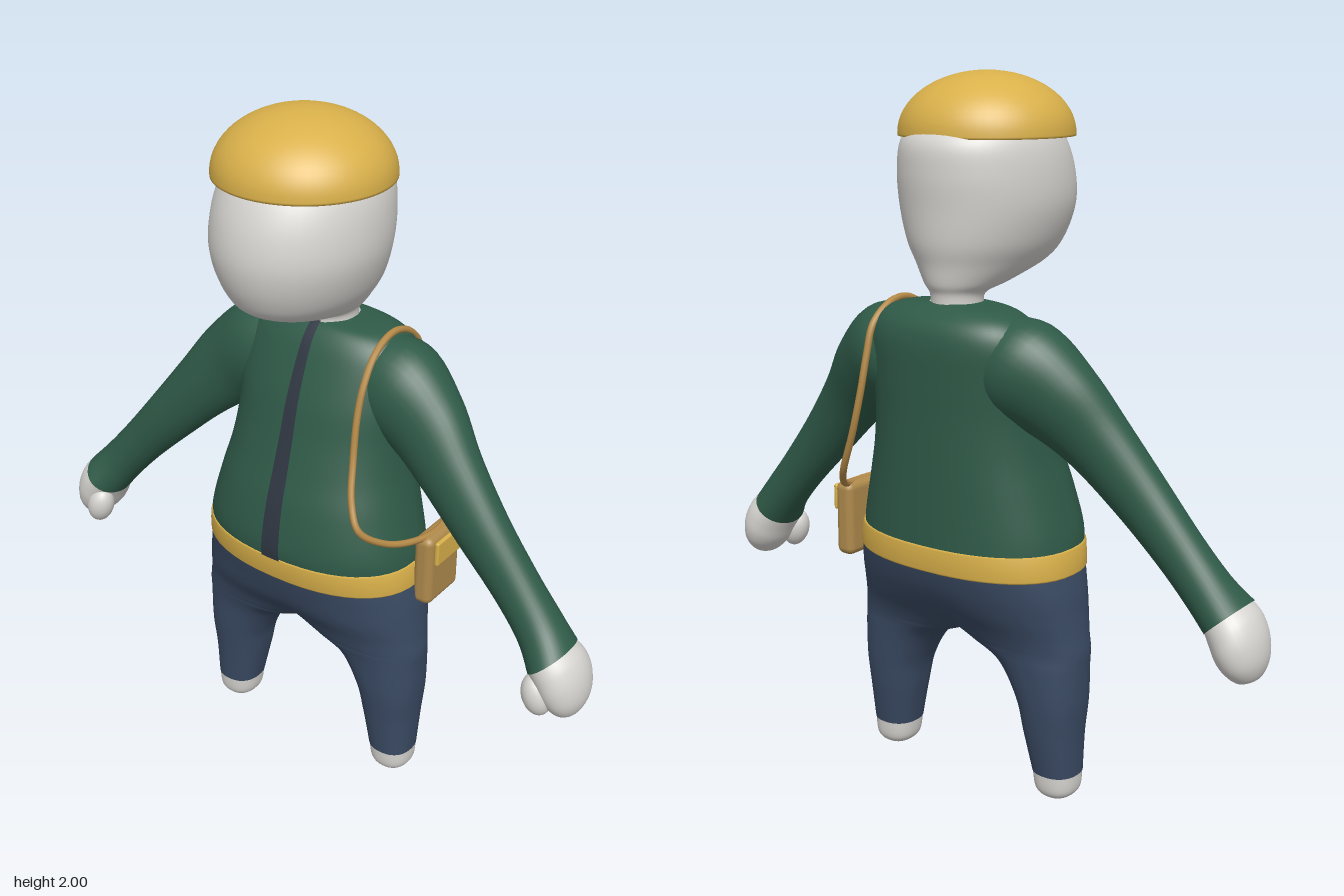
import * as THREE from 'three';
import { mergeVertices } from 'three/addons/utils/BufferGeometryUtils.js';
import { RoundedBoxGeometry } from 'three/addons/geometries/RoundedBoxGeometry.js';

const mat = (name, color, double) => {
  const m = new THREE.MeshStandardMaterial({ color });
  m.name = name;
  if (double) m.side = THREE.DoubleSide;
  return m;
};

// Smooth interpolation through the section list at parameter s (0..n-1)
function sectionAt(list, s) {
  const n = list.length - 1, i = Math.min(Math.floor(s), n - 1), f = s - i;
  const [a, b, c, d] = [i - 1, i, i + 1, i + 2].map(k => list[Math.max(0, Math.min(n, k))]);
  return b.map((v, k) => {
    const m0 = (c[k] - a[k]) / 2, m1 = (d[k] - v) / 2;
    return v + f * m0 + f * f * (3 * (c[k] - v) - 2 * m0 - m1) + f * f * f * (2 * (v - c[k]) + m0 + m1);
  });
}

const fullRing = () => [0, Math.PI * 2];

// Skin over sections [x, y, z, radius across, radius in z, tilt]; e below 1 gives boxier rings
function loft(list, { e = 1, range = fullRing, seg = 48, steps = 6 } = {}) {
  const pos = [], idx = [], rows = (list.length - 1) * steps;
  const pw = v => Math.sign(v) * Math.abs(v) ** e;
  for (let i = 0; i <= rows; i++) {
    const s = sectionAt(list, i / steps), [x, y, z, ru, rz, tilt = 0] = s;
    const [t0, t1] = range(s);
    for (let j = 0; j <= seg; j++) {
      const t = t0 + (t1 - t0) * j / seg, u = ru * pw(Math.cos(t));
      pos.push(x + u * Math.cos(tilt), y + u * Math.sin(tilt), z + rz * pw(Math.sin(t)));
      if (i < rows && j < seg) {
        const a = i * (seg + 1) + j, c = a + seg + 1;
        idx.push(a, c, a + 1, a + 1, c, c + 1);
      }
    }
  }
  let g = new THREE.BufferGeometry();
  g.setAttribute('position', new THREE.Float32BufferAttribute(pos, 3));
  g.setIndex(idx);
  g = mergeVertices(g, 1e-5);
  g.computeVertexNormals();
  return g;
}

// Mirrored copy across x = 0
function mirrored(geo) {
  const g = geo.clone().scale(-1, 1, 1), ix = g.index.array;
  for (let i = 0; i < ix.length; i += 3) [ix[i], ix[i + 1]] = [ix[i + 1], ix[i]];
  const n = g.attributes.normal;
  const src = geo.attributes.normal;
  for (let i = 0; i < n.count; i++) n.setXYZ(i, -src.getX(i), src.getY(i), src.getZ(i));
  return g;
}

export function createModel() {
  const root = new THREE.Group();
  const skin = mat('paleSkin', 0xd6d4d0), green = mat('greenJumper', 0x2f5a48);
  const blue = mat('blueTrousers', 0x3a4a63), gold = mat('gold', 0xd9b04a, true);
  const dark = mat('darkZip', 0x2f3742, true), tan = mat('tanBag', 0xae8a4c);
  const strapMat = mat('strapLeather', 0xb58a48);
  const add = (name, geo, m, parent = root) => {
    const mesh = new THREE.Mesh(geo, m);
    mesh.name = name;
    parent.add(mesh);
    return mesh;
  };
  const pair = (name, geo, m) => {
    add('left' + name, geo, m);
    add('right' + name, mirrored(geo), m);
  };
  const E = 0.87;

  // Torso
  const torso = [
    [0, 0.70, -0.05, 0.338, 0.220], [0, 0.78, -0.045, 0.332, 0.225],
    [0, 0.90, -0.055, 0.302, 0.215], [0, 1.00, -0.07, 0.277, 0.200],
    [0, 1.10, -0.085, 0.265, 0.185], [0, 1.20, -0.10, 0.266, 0.172],
    [0, 1.30, -0.12, 0.262, 0.152], [0, 1.355, -0.125, 0.235, 0.130],
    [0, 1.388, -0.12, 0.175, 0.098], [0, 1.40, -0.115, 0.07, 0.07],
  ];
  add('torso', loft(torso, { e: E }), green);

  // Zip strip down the front, widening to the belt
  const zip = torso.slice(0, 9).map(([x, y, z, ru, rz]) => [x, y, z, ru + 0.004, rz + 0.004]);
  zip.push([0, 1.402, -0.115, 0.09, 0.08]);
  add('zip', loft(zip, {
    seg: 6,
    range: ([, y, , ru]) => {
      const w = 0.015 + 0.016 * (1.4 - y) / 0.66;
      return [Math.PI / 2 - w / ru, Math.PI / 2 + w / ru];
    },
  }), dark);

  // Belt
  add('belt', loft([
    [0, 0.678, -0.05, 0.342, 0.219], [0, 0.68, -0.05, 0.349, 0.225],
    [0, 0.743, -0.047, 0.341, 0.230], [0, 0.745, -0.047, 0.333, 0.222],
  ], { e: E, steps: 2 }), gold);

  // Trousers: each half grows from an ankle ring into half of the hips, cut at x = 0
  const trousers = loft([
    [0.293, 0.08, -0.035, 0.068, 0.070], [0.283, 0.20, -0.04, 0.083, 0.085],
    [0.275, 0.30, -0.04, 0.100, 0.097], [0.243, 0.40, -0.04, 0.135, 0.105],
    [0.190, 0.45, -0.038, 0.190, 0.115], [0.135, 0.50, -0.04, 0.238, 0.135],
    [0.060, 0.56, -0.043, 0.305, 0.172], [0.010, 0.62, -0.048, 0.348, 0.200],
    [0, 0.68, -0.05, 0.345, 0.219], [0, 0.71, -0.05, 0.335, 0.219],
  ], {
    e: E,
    range: ([x, , , ru]) => {
      const k = Math.max(-1, Math.min(1, x / ru));
      const t = Math.acos(-Math.sign(k) * Math.abs(k) ** (1 / E));
      return [-t, t];
    },
  });
  // Smooth the centre seam
  const p = trousers.attributes.position, n = trousers.attributes.normal;
  for (let i = 0; i < p.count; i++) {
    if (Math.abs(p.getX(i)) > 1e-4) continue;
    const l = Math.hypot(n.getY(i), n.getZ(i)) || 1;
    n.setXYZ(i, 0, n.getY(i) / l, n.getZ(i) / l);
  }
  pair('Trouser', trousers, blue);

  // Feet
  pair('Foot', loft([
    [0.295, 0, -0.035, 0.001, 0.001], [0.295, 0.006, -0.035, 0.036, 0.040],
    [0.295, 0.03, -0.035, 0.060, 0.063], [0.293, 0.082, -0.035, 0.067, 0.069],
  ], { e: E }), skin);

  // Sleeves, from cuff to shoulder
  pair('Sleeve', loft([
    [0.800, 0.650, -0.012, 0.071, 0.092, 0.75], [0.745, 0.715, -0.028, 0.068, 0.072, 0.75],
    [0.660, 0.810, -0.036, 0.071, 0.064, 0.72], [0.545, 0.935, -0.045, 0.083, 0.068, 0.72],
    [0.430, 1.060, -0.065, 0.100, 0.079, 0.74], [0.330, 1.160, -0.095, 0.125, 0.100, 0.85],
    [0.220, 1.235, -0.115, 0.145, 0.125, 1.15], [0.100, 1.260, -0.115, 0.110, 0.100, 1.45],
  ], { seg: 36 }), green);

  // Hands with thumbs
  pair('Hand', loft([
    [0.868, 0.492, -0.015, 0.001, 0.001, 0.3], [0.865, 0.500, -0.015, 0.030, 0.045, 0.3],
    [0.858, 0.535, -0.017, 0.055, 0.080, 0.4], [0.843, 0.580, -0.017, 0.071, 0.096, 0.6],
    [0.822, 0.622, -0.015, 0.074, 0.096, 0.72], [0.797, 0.653, -0.012, 0.068, 0.089, 0.75],
  ], { seg: 32 }), skin);
  const thumb = new THREE.SphereGeometry(1, 20, 14).scale(0.042, 0.062, 0.042)
    .rotateZ(0.3).translate(0.795, 0.560, 0.050);
  pair('Thumb', thumb, skin);

  // Head and neck
  add('head', loft([
    [0, 1.37, -0.11, 0.070, 0.080], [0, 1.42, -0.11, 0.070, 0.082],
    [0, 1.45, -0.065, 0.105, 0.140], [0, 1.50, 0.0, 0.155, 0.215],
    [0, 1.56, 0.018, 0.195, 0.248], [0, 1.65, 0.026, 0.224, 0.264],
    [0, 1.74, 0.018, 0.226, 0.263], [0, 1.82, 0.006, 0.210, 0.243],
    [0, 1.87, 0.01, 0.175, 0.195], [0, 1.92, 0.015, 0.100, 0.110],
    [0, 1.935, 0.015, 0.002, 0.002],
  ]), skin);

  // Cap: hollow dome with a small rim
  const dome = [[0.222, 1.834], [0.240, 1.830]];
  for (let i = 0; i <= 16; i++) {
    const a = i / 16 * Math.PI / 2;
    dome.push([i === 16 ? 0 : 0.240 * Math.cos(a), 1.836 + 0.164 * Math.sin(a)]);
  }
  add('cap', new THREE.LatheGeometry(dome.map(q => new THREE.Vector2(...q)), 56)
    .translate(0, 0, 0.018), gold);

  // Shoulder bag with flap and clasp plate
  const bag = new THREE.Group();
  bag.name = 'shoulderBag';
  root.add(bag);
  add('bagBody', new RoundedBoxGeometry(0.06, 0.22, 0.16, 4, 0.022), tan, bag)
    .position.set(0.368, 0.73, -0.11);
  add('bagFlap', new RoundedBoxGeometry(0.014, 0.075, 0.13, 3, 0.006), gold, bag)
    .position.set(0.403, 0.79, -0.115);

  // Strap looping over the left shoulder
  const loop = [
    [0.370, 0.835, -0.10], [0.350, 0.842, -0.19], [0.300, 0.900, -0.255], [0.240, 1.03, -0.278],
    [0.212, 1.15, -0.272], [0.203, 1.25, -0.255], [0.200, 1.33, -0.230], [0.198, 1.38, -0.165],
    [0.198, 1.39, -0.10], [0.200, 1.36, -0.025], [0.203, 1.29, 0.030], [0.205, 1.21, 0.060],
    [0.215, 1.09, 0.090], [0.240, 0.99, 0.130], [0.275, 0.92, 0.145], [0.320, 0.865, 0.080],
    [0.355, 0.840, -0.01],
  ].map(q => new THREE.Vector3(...q));
  add('strap', new THREE.TubeGeometry(new THREE.CatmullRomCurve3(loop, true), 120, 0.010, 8, true),
    strapMat, bag);

  return root;
}
